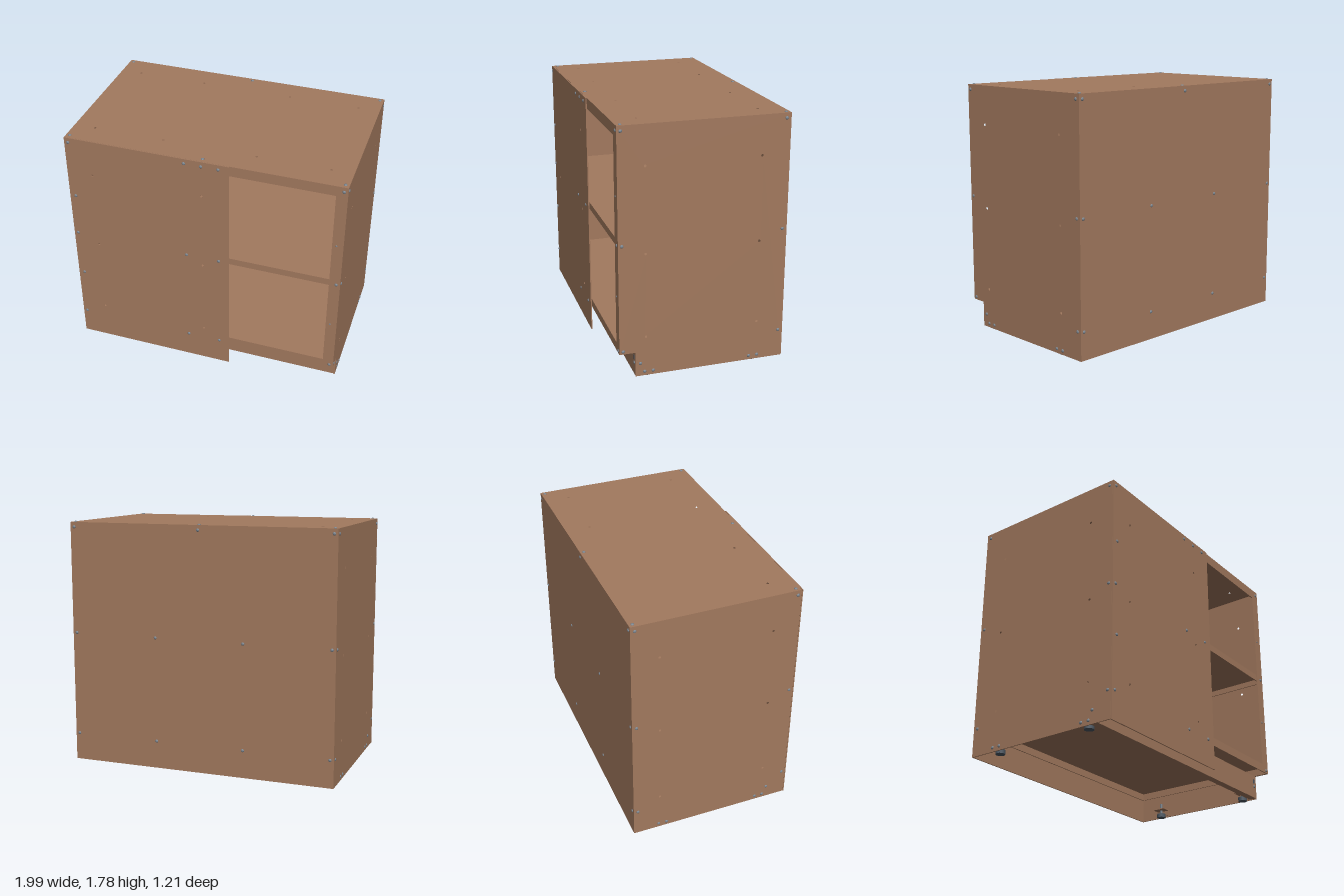
import * as THREE from 'three';

const brown = new THREE.MeshStandardMaterial({ color: 0xa2795e });
brown.name = 'paintedSteel';
const steel = new THREE.MeshStandardMaterial({ color: 0x7c858e });
steel.name = 'screwSteel';
const rubber = new THREE.MeshStandardMaterial({ color: 0x4d5863 });
rubber.name = 'footGrey';

const T = 0.008;          // sheet thickness
const X = 0.988;          // half width of the carcass
const BACK = -0.597, FRONT = 0.586;
const TOP = 1.775, BASE = 0.01;

export function createModel() {
  const root = new THREE.Group();
  root.name = 'cabinet';

  const add = (name, geometry, material, parent = root) => {
    const m = new THREE.Mesh(geometry, material);
    m.name = name;
    parent.add(m);
    return m;
  };

  // Box given by its limits on each axis
  const box = (name, x0, x1, y0, y1, z0, z1, material = brown, parent = root) => {
    const m = add(name, new THREE.BoxGeometry(x1 - x0, y1 - y0, z1 - z0), material, parent);
    m.position.set((x0 + x1) / 2, (y0 + y1) / 2, (z0 + z1) / 2);
    return m;
  };

  // Thin sheet from an outline, with round holes, extruded along local z
  const sheet = (name, outline, holes) => {
    const shape = new THREE.Shape(outline.map(([a, b]) => new THREE.Vector2(a, b)));
    for (const [a, b, r = 0.009] of holes) {
      shape.holes.push(new THREE.Path().absarc(a, b, r, 0, Math.PI * 2, true));
    }
    return add(name, new THREE.ExtrudeGeometry(shape, { depth: T, bevelEnabled: false, curveSegments: 6 }), brown);
  };

  const grid = (as, bs) => as.flatMap((a) => bs.map((b) => [a, b]));

  // Side panels: the model's left one is notched for the toe space
  for (const s of [-1, 1]) {
    const outline = s > 0
      ? [[BACK, BASE], [0.475, BASE], [0.475, 0.19], [FRONT, 0.19], [FRONT, TOP], [BACK, TOP]]
      : [[BACK, BASE], [FRONT, BASE], [FRONT, TOP], [BACK, TOP]];
    const side = sheet(s > 0 ? 'leftSide' : 'rightSide',
      outline.map(([z, y]) => [-z, y]), grid([-0.4, 0.4], [0.3, 0.9, 1.5]));
    side.rotation.y = Math.PI / 2;
    side.position.x = s > 0 ? X - T : -X;
    // Folded front stile and rear return
    const [a, b] = s > 0 ? [0.91, X - T] : [-X + T, -0.91];
    box('frontStile', a, b, 0.25, TOP - T, FRONT - T, FRONT);
    box('rearReturn', a, b, 0.25, TOP - T, BACK + T, BACK + 2 * T);
  }

  // Back panel
  box('backPanel', -X, X, BASE, TOP, BACK, BACK + T);

  // Top panel with small holes and folded front edge
  const top = sheet('topPanel', [[-X, BACK], [X, BACK], [X, FRONT], [-X, FRONT]].map(([x, z]) => [x, -z]),
    grid([-0.835, -0.33, 0.33, 0.835], [-0.415, 0.42]));
  top.rotation.x = -Math.PI / 2;
  top.position.y = TOP - T;
  box('topRail', -0.91, 0.91, 1.7, TOP - T, FRONT - T, FRONT);

  // Shelves: flat pans with the edges folded down
  const pan = (name, y, drop, x1, zf) => {
    const g = new THREE.Group();
    g.name = name;
    root.add(g);
    const zb = BACK + T;
    box('shelfBoard', -x1, x1, y - T, y, zb, zf, brown, g);
    box('frontFold', -x1, x1, y - drop, y - T, zf - T, zf, brown, g);
    box('rearFold', -x1, x1, y - drop, y - T, zb, zb + T, brown, g);
    for (const s of [-1, 1]) {
      box('sideFold', s * (x1 - T / 2) - T / 2, s * (x1 - T / 2) + T / 2, y - drop, y - T, zb + T, zf - T, brown, g);
    }
  };
  pan('middleShelf', 1.0, 0.05, X - T, FRONT - T);
  pan('floorPan', 0.25, 0.06, X - T, FRONT);

  // Toe board with inward folds
  box('toeBoard', -X + T, X - T, 0.015, 0.19, 0.467, 0.475);
  for (const y of [0.015, 0.182]) box('toeBoardFold', -X + T, X - T, y, y + T, 0.42, 0.467);

  // Large front cover over the blind part
  const cover = sheet('frontCover', [[-X, 0.005], [0.195, 0.005], [0.195, TOP], [-X, TOP]],
    grid([-0.8, 0], [0.3, 0.9, 1.5]));
  cover.position.z = FRONT + 0.001;

  // Domed screw heads facing the given direction
  const head = new THREE.SphereGeometry(0.012, 10, 4, 0, Math.PI * 2, 0, Math.PI / 2);
  head.scale(1, 0.6, 1);
  const up = new THREE.Vector3(0, 1, 0);
  const screw = (x, y, z, nx, ny, nz, size = 1) => {
    const m = add('screwHead', head, steel);
    m.position.set(x, y, z);
    m.quaternion.setFromUnitVectors(up, new THREE.Vector3(nx, ny, nz));
    m.scale.setScalar(size);
  };
  const rows = [0.21, 0.97, 1.74];
  const coverZ = FRONT + 0.001 + T;
  for (const y of rows) {
    for (const x of [-0.96, -0.12, 0.12, 0.96]) screw(x, y, x < 0.195 ? coverZ : FRONT, 0, 0, 1);
    for (const x of [-0.96, 0.96]) screw(x, y, BACK, 0, 0, -1);
    for (const s of [-1, 1]) for (const z of [-0.565, 0.56]) screw(s * X, y, z, s, 0, 0);
  }
  for (const y of [0.6, 1.3]) {
    screw(-0.945, y, coverZ, 0, 0, 1);
    screw(0.94, y, FRONT, 0, 0, 1, 0.6);
  }
  screw(0, 1.74, coverZ, 0, 0, 1);
  screw(0, 1.74, BACK, 0, 0, -1);
  for (const x of [-0.33, 0.33]) {
    for (const y of [0.21, 0.97]) screw(x, y, BACK, 0, 0, -1);
    for (const y of [0.25, 1.0]) screw(x, y, BACK + T, 0, 0, 1, 0.8);
  }
  for (const x of [-0.96, 0, 0.96]) for (const z of [-0.57, 0.555]) screw(x, TOP, z, 0, 1, 0);
  for (const s of [-1, 1]) {
    screw(s * X, 0.105, 0.44, s, 0, 0);
    for (const z of [-0.41, -0.35, 0.35, 0.41]) screw(s * X, 0.04, z, s, 0, 0);
  }
  screw(0.96, 0.105, 0.475, 0, 0, 1);
  box('toeBoardSlot', 0.948, 0.962, 0.128, 0.16, 0.475, 0.478, rubber);

  // Levelling feet on small brackets
  for (const s of [-1, 1]) {
    for (const z of [-0.38, 0.38]) {
      const foot = new THREE.Group();
      foot.name = 'levellingFoot';
      foot.position.set(s * 0.94, 0, z);
      root.add(foot);
      add('footPad', new THREE.CylinderGeometry(0.034, 0.034, 0.03, 12), rubber, foot).position.y = 0.015;
      add('footStem', new THREE.CylinderGeometry(0.01, 0.01, 0.09, 8), steel, foot).position.y = 0.07;
      box('footBracket', -0.04, 0.04, 0.06, 0.068, -0.05, 0.05, brown, foot);
      box('bracketPlate', s * 0.036 - 0.004, s * 0.036 + 0.004, 0.02, 0.06, -0.05, 0.05, brown, foot);
    }
  }

  return root;
}
